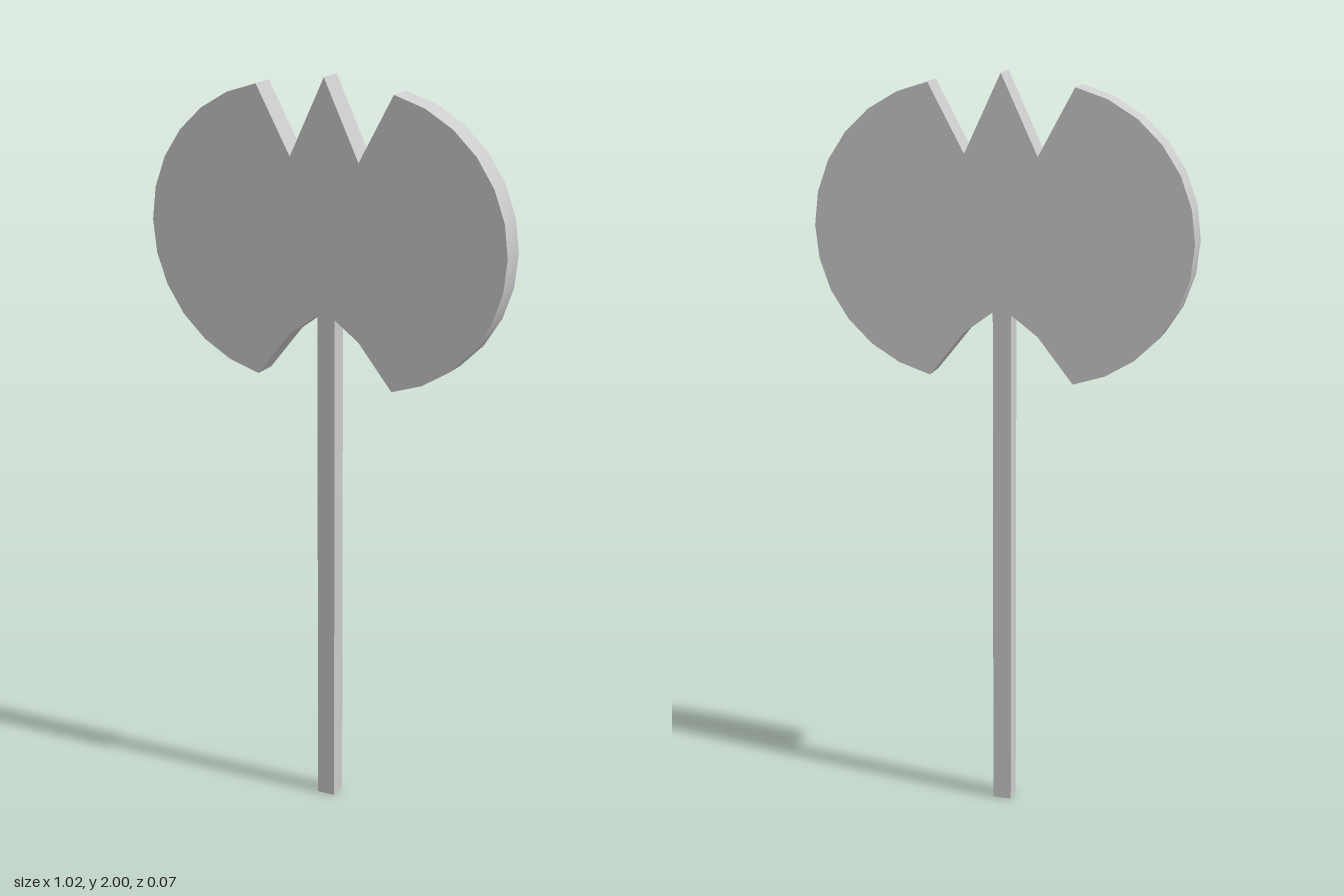
import * as THREE from 'three';
import { toCreasedNormals } from 'three/addons/utils/BufferGeometryUtils.js';

export function createModel() {
  const group = new THREE.Group();
  const material = new THREE.MeshStandardMaterial({ color: 0xcccccc });

  // Right half of the blade outline, from the top spike down to the lower notch
  const half = [[0, 2], [0.098, 1.79]];
  const centerX = 0.117, centerY = 1.585, radius = 0.393;
  const sweep = Math.atan2(0.385, 0.195 - centerX);
  const steps = 12;
  for (let i = 0; i <= steps; i++) {
    const a = sweep - (2 * sweep * i) / steps;
    half.push([centerX + radius * Math.cos(a), centerY + radius * Math.sin(a)]);
  }
  half.push([0.1, 1.32], [0, 1.395]);

  // Mirror it to close the double-bitted head
  const mirrored = half.slice(1, -1).reverse().map(([x, y]) => [-x, y]);
  const outline = [...half, ...mirrored].map(([x, y]) => new THREE.Vector2(x, y));

  const depth = 0.072;
  const headGeometry = new THREE.ExtrudeGeometry(new THREE.Shape(outline), { depth, bevelEnabled: false });
  headGeometry.translate(0, 0, -depth / 2);
  const head = new THREE.Mesh(toCreasedNormals(headGeometry, 0.4), material);
  head.name = 'axeHead';
  group.add(head);

  // Square handle running up into the lower notch
  const handleHeight = 1.4;
  const handle = new THREE.Mesh(new THREE.BoxGeometry(0.05, handleHeight, 0.05), material);
  handle.position.y = handleHeight / 2;
  handle.name = 'handle';
  group.add(handle);

  return group;
}
